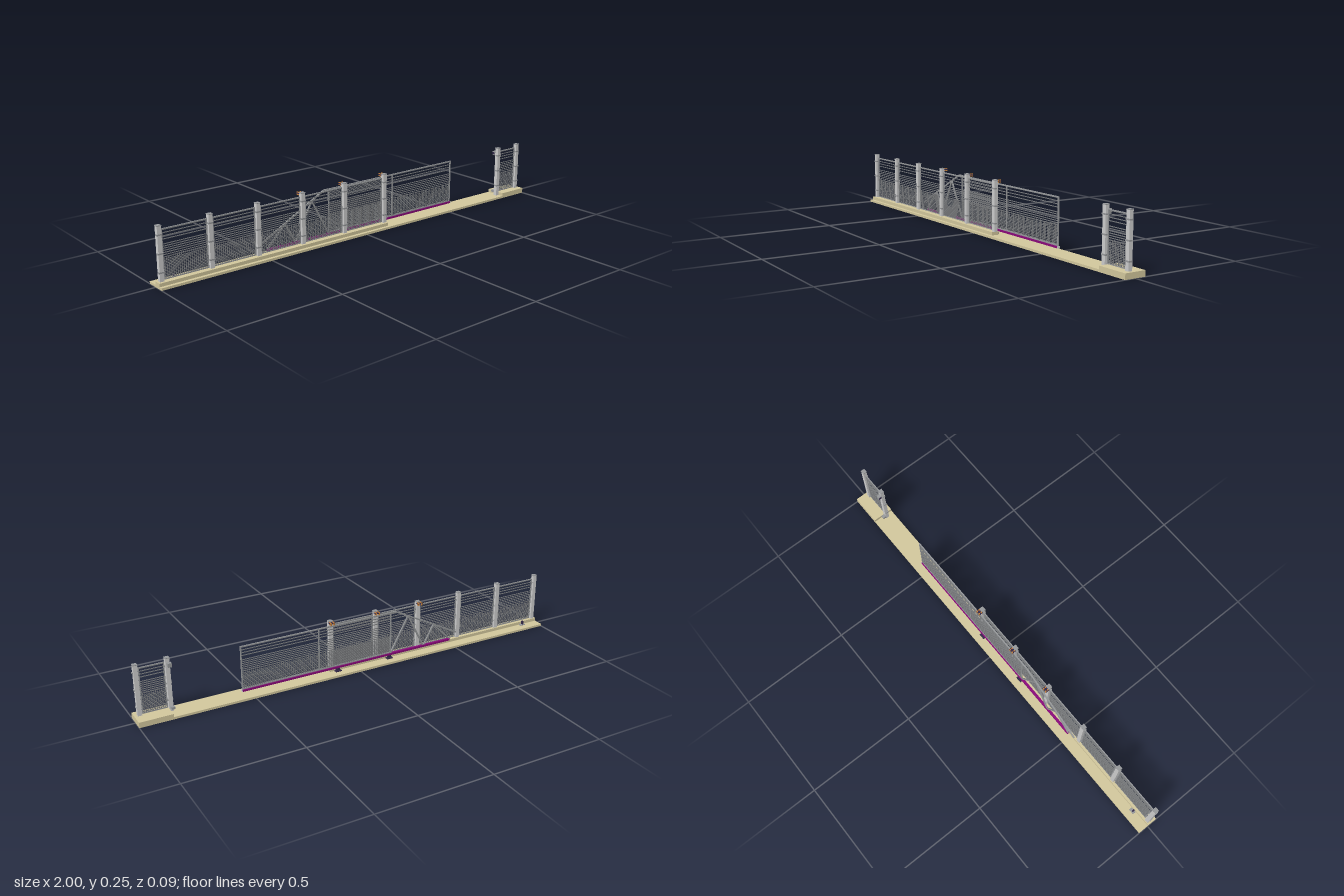
import * as THREE from 'three';
import { mergeGeometries } from 'three/addons/utils/BufferGeometryUtils.js';

const mat = (color) => new THREE.MeshStandardMaterial({ color });
const grey = mat(0xcccccc), steel = mat(0x96989a), wire = mat(0x77797b);
const concrete = mat(0xd2c79c), magenta = mat(0x8a0a7a), dark = mat(0x33284a), orange = mat(0xc8823a);

// Box geometry from its limits on each axis
function boxGeo(x0, x1, y0, y1, z0, z1) {
  return new THREE.BoxGeometry(x1 - x0, y1 - y0, z1 - z0)
    .translate((x0 + x1) / 2, (y0 + y1) / 2, (z0 + z1) / 2);
}

function add(parent, name, geo, material) {
  const mesh = new THREE.Mesh(geo, material);
  mesh.name = name;
  parent.add(mesh);
  return mesh;
}

// Square bar between two points in the plane of the gate
function barGeo(a, b, z, t) {
  const dx = b[0] - a[0], dy = b[1] - a[1];
  return new THREE.BoxGeometry(Math.hypot(dx, dy), t, t)
    .rotateZ(Math.atan2(dy, dx))
    .translate((a[0] + b[0]) / 2, (a[1] + b[1]) / 2, z);
}

// Panel infill: open rails at the top, closer rails below, fine mesh at the bottom
function infillGeo(x0, x1, y0, z) {
  const parts = [];
  const rail = (y, t) => parts.push(boxGeo(x0, x1, y - t / 2, y + t / 2, z - t / 2, z + t / 2));
  for (let y = 0.225; y > 0.175; y -= 0.0125) rail(y, 0.003);
  for (let y = 0.168; y > 0.11; y -= 0.0085) rail(y, 0.003);
  for (let y = 0.108; y > y0; y -= 0.006) rail(y, 0.0024);
  const n = Math.round((x1 - x0) / 0.009);
  for (let i = 1; i < n; i++) {
    const x = x0 + ((x1 - x0) * i) / n;
    parts.push(boxGeo(x - 0.001, x + 0.001, y0, 0.12, z - 0.001, z + 0.001));
  }
  return mergeGeometries(parts);
}

// Rectangular frame around an infill
function frameGeo(x0, x1, y0, y1, z, t) {
  return mergeGeometries([
    boxGeo(x0, x0 + t, y0, y1, z - t / 2, z + t / 2),
    boxGeo(x1 - t, x1, y0, y1, z - t / 2, z + t / 2),
    boxGeo(x0, x1, y1 - t, y1, z - t / 2, z + t / 2),
    boxGeo(x0, x1, y0, y0 + t, z - t / 2, z + t / 2),
  ]);
}

function fencePanel(parent, x0, x1) {
  const g = new THREE.Group();
  g.name = 'fencePanel';
  add(g, 'panelFrame', frameGeo(x0, x1, 0.027, 0.23, 0.012, 0.004), steel);
  add(g, 'panelInfill', infillGeo(x0, x1, 0.028, 0.012), wire);
  parent.add(g);
}

// Post with a cap and panel clips
function post(parent, x, y0) {
  const g = new THREE.Group();
  g.name = 'post';
  add(g, 'postTube', boxGeo(x - 0.009, x + 0.009, y0, 0.244, 0.004, 0.021), grey);
  add(g, 'postCap', boxGeo(x - 0.01, x + 0.01, 0.244, 0.247, 0.003, 0.022), steel);
  for (const y of [0.06, 0.135, 0.21])
    add(g, 'panelClip', boxGeo(x - 0.012, x + 0.012, y - 0.003, y + 0.003, 0.009, 0.0225), steel);
  parent.add(g);
}

export function createModel() {
  const model = new THREE.Group();
  model.name = 'slidingGate';
  const gz = -0.005;

  // Foundation
  const base = new THREE.Group();
  base.name = 'foundation';
  add(base, 'slab', boxGeo(-1, 1, 0, 0.01, -0.047, 0.047), concrete);
  add(base, 'fenceCurb', boxGeo(-1, 0.13, 0.01, 0.024, 0, 0.032), concrete);
  add(base, 'endBlock', boxGeo(0.857, 1, 0.01, 0.024, -0.047, 0.047), concrete);
  model.add(base);

  // Fixed fence
  const fence = new THREE.Group();
  fence.name = 'fence';
  const xs = [-0.982, -0.762, -0.543, -0.322, -0.102, 0.121];
  xs.forEach((x, i) => {
    post(fence, x, 0.024);
    if (i) fencePanel(fence, xs[i - 1] + 0.012, x - 0.012);
  });
  post(fence, 0.848, 0.01);
  post(fence, 0.978, 0.024);
  fencePanel(fence, 0.86, 0.966);
  model.add(fence);

  // Sliding leaf
  const leaf = new THREE.Group();
  leaf.name = 'gateLeaf';
  add(leaf, 'bottomRail', boxGeo(-0.49, 0.545, 0.025, 0.034, gz - 0.006, gz + 0.005), magenta);
  add(leaf, 'railEndCap', boxGeo(0.545, 0.547, 0.025, 0.034, gz - 0.006, gz + 0.006), grey);
  add(leaf, 'leafFrame', frameGeo(-0.175, 0.545, 0.034, 0.23, gz, 0.005), steel);
  add(leaf, 'leafInfill', infillGeo(-0.172, 0.543, 0.036, gz), wire);
  add(leaf, 'leafStile', boxGeo(0.182, 0.187, 0.034, 0.228, gz - 0.0025, gz + 0.0025), steel);

  // Counterweight truss
  const truss = [
    [[-0.525, 0.058], [-0.2, 0.226]],
    [[-0.2, 0.2275], [-0.172, 0.2275]],
    [[-0.488, 0.034], [-0.4, 0.122]],
    [[-0.4, 0.122], [-0.35, 0.034]],
    [[-0.345, 0.034], [-0.262, 0.194]],
    [[-0.262, 0.194], [-0.175, 0.034]],
  ];
  add(leaf, 'truss', mergeGeometries(truss.map(([a, b]) => barGeo(a, b, gz, 0.006))), steel);
  model.add(leaf);

  // Roller carriages under the rail
  for (const x of [-0.165, 0.095]) {
    const g = new THREE.Group();
    g.name = 'rollerCarriage';
    add(g, 'carriagePlate', boxGeo(x - 0.014, x + 0.014, 0.01, 0.014, -0.017, 0.004), dark);
    add(g, 'carriageBody', boxGeo(x - 0.008, x + 0.008, 0.014, 0.026, -0.01, -0.001), dark);
    model.add(g);
  }

  // Top guides on the posts beside the leaf
  for (const x of [-0.322, -0.102, 0.121]) {
    const g = new THREE.Group();
    g.name = 'topGuide';
    add(g, 'guideBracket', boxGeo(x - 0.012, x + 0.012, 0.239, 0.242, -0.012, 0.006), dark);
    for (const z of [0, -0.01]) for (const dx of [-0.007, 0.007])
      add(g, 'guideRoller', new THREE.CylinderGeometry(0.0035, 0.0035, 0.012, 12)
        .translate(x + dx, 0.239, z), orange);
    model.add(g);
  }

  // Catchers on the receiving post
  const catcher = new THREE.Group();
  catcher.name = 'catcher';
  add(catcher, 'upperCatcher', boxGeo(0.836, 0.852, 0.21, 0.228, -0.011, 0.004), steel);
  add(catcher, 'lowerCatcher', boxGeo(0.836, 0.852, 0.024, 0.034, -0.011, 0.004), steel);
  add(catcher, 'catcherPad', boxGeo(0.834, 0.836, 0.214, 0.224, -0.01, 0.002), dark);
  model.add(catcher);

  // End stop behind the fence
  const stop = new THREE.Group();
  stop.name = 'endStop';
  add(stop, 'stopPlate', boxGeo(-0.925, -0.9, 0.01, 0.013, -0.016, -0.001), steel);
  add(stop, 'stopUpright', boxGeo(-0.918, -0.912, 0.013, 0.03, -0.012, -0.003), dark);
  model.add(stop);

  return model;
}
